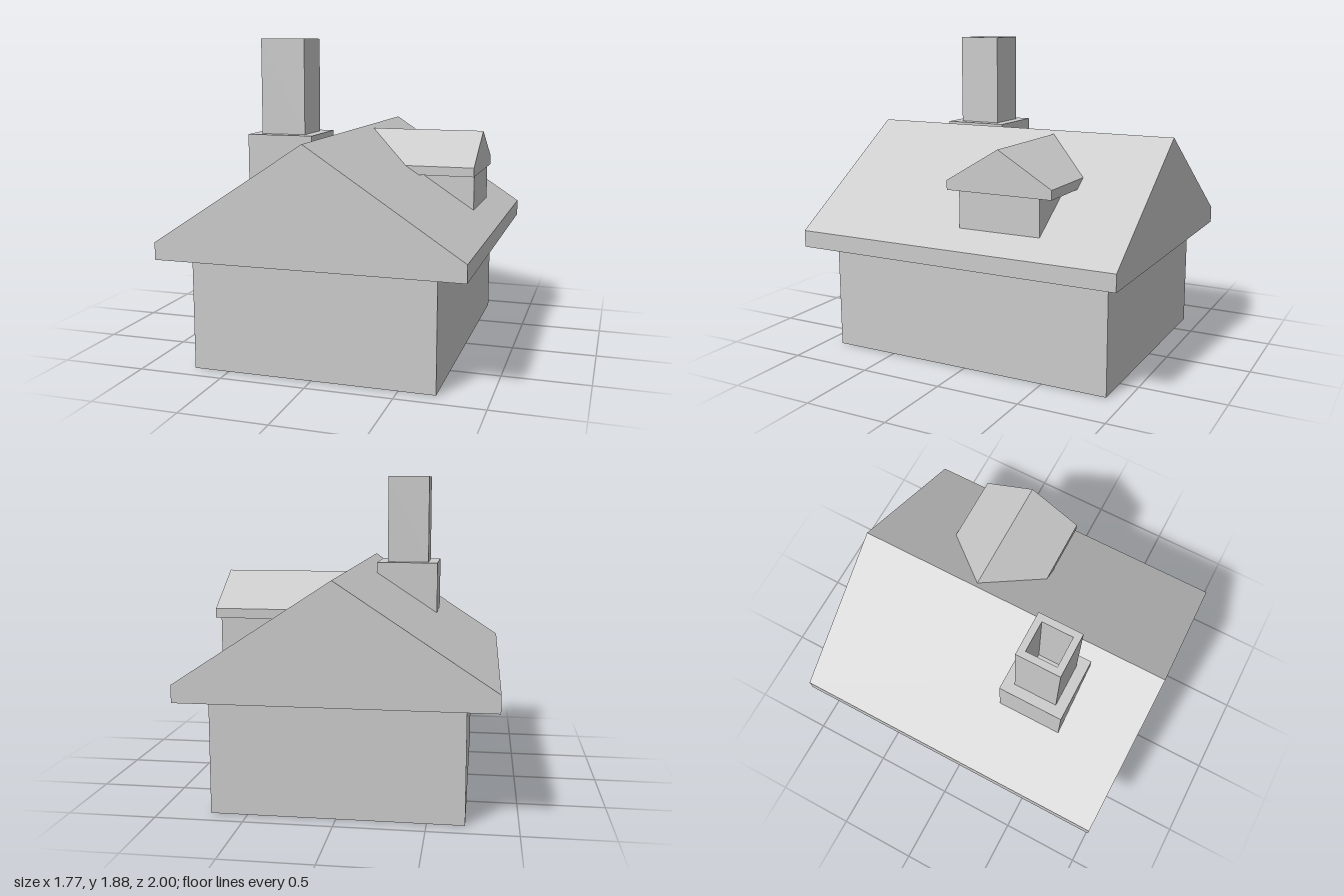
import * as THREE from 'three';

const material = new THREE.MeshStandardMaterial({ color: 0xcccccc, flatShading: true });

function addMesh(parent, name, geometry) {
  const mesh = new THREE.Mesh(geometry, material);
  mesh.name = name;
  parent.add(mesh);
  return mesh;
}

// Box given by its lower and upper limits on each axis
function addBox(parent, name, [x0, x1], [y0, y1], [z0, z1]) {
  const mesh = addMesh(parent, name, new THREE.BoxGeometry(x1 - x0, y1 - y0, z1 - z0));
  mesh.position.set((x0 + x1) / 2, (y0 + y1) / 2, (z0 + z1) / 2);
  return mesh;
}

// Gable prism running along z from 0 to length, with upright eaves
function gableGeometry(halfWidth, bottom, eave, ridge, length) {
  const shape = new THREE.Shape([
    new THREE.Vector2(-halfWidth, bottom),
    new THREE.Vector2(halfWidth, bottom),
    new THREE.Vector2(halfWidth, eave),
    new THREE.Vector2(0, ridge),
    new THREE.Vector2(-halfWidth, eave),
  ]);
  return new THREE.ExtrudeGeometry(shape, { depth: length, bevelEnabled: false });
}

function squarePoints(half) {
  return [[-half, -half], [half, -half], [half, half], [-half, half]]
    .map(([x, y]) => new THREE.Vector2(x, y));
}

export function createModel() {
  const house = new THREE.Group();
  house.name = 'house';

  // Walls and main roof
  addBox(house, 'walls', [-0.71, 0.71], [0, 0.655], [-0.89, 0.89]);
  addMesh(house, 'mainRoof', gableGeometry(0.885, 0.655, 0.755, 1.335, 2)).position.z = -1;

  // Dormer on the left slope, its gable facing +x
  const dormer = new THREE.Group();
  dormer.name = 'dormer';
  house.add(dormer);
  addBox(dormer, 'dormerWalls', [0.3, 0.74], [0.8, 1.065], [-0.5, 0]);
  const dormerRoof = addMesh(dormer, 'dormerRoof', gableGeometry(0.325, 1.065, 1.12, 1.315, 0.75));
  dormerRoof.rotation.y = Math.PI / 2;
  dormerRoof.position.z = -0.25;

  // Chimney on the right slope: wide base and hollow stack
  const chimney = new THREE.Group();
  chimney.name = 'chimney';
  house.add(chimney);
  addBox(chimney, 'chimneyBase', [-0.49, -0.1], [0.9, 1.335], [0.18, 0.575]);
  const section = new THREE.Shape(squarePoints(0.132));
  section.holes.push(new THREE.Path(squarePoints(0.092).reverse()));
  const stack = addMesh(chimney, 'chimneyStack',
    new THREE.ExtrudeGeometry(section, { depth: 0.55, bevelEnabled: false }));
  stack.rotation.x = -Math.PI / 2;
  stack.position.set(-0.296, 1.335, 0.379);

  return house;
}
